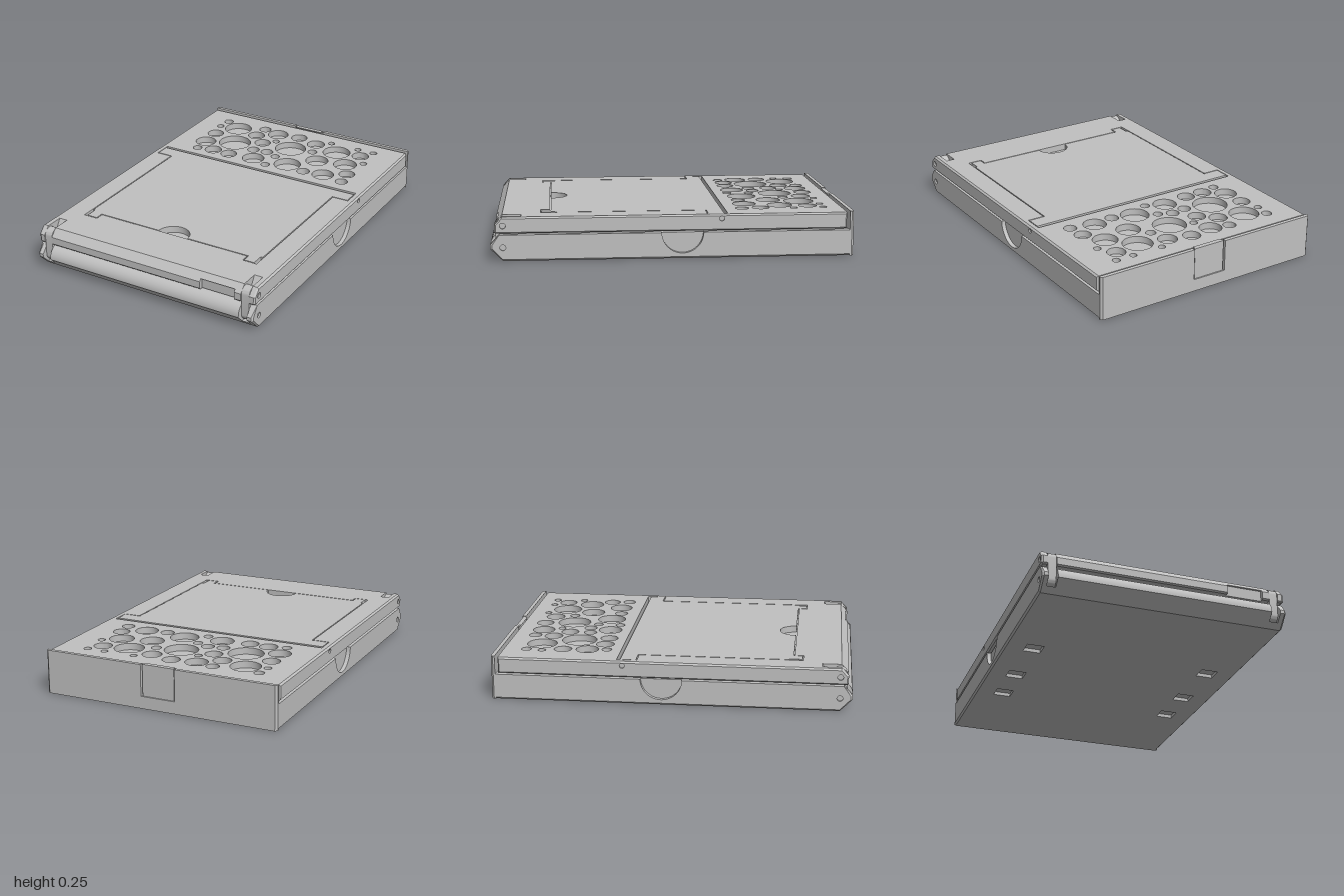
import * as THREE from 'three';
import { toCreasedNormals } from 'three/addons/utils/BufferGeometryUtils.js';

const grey = new THREE.MeshStandardMaterial({ color: 0xc0c0c0 });
grey.name = 'grey plastic';
const PI = Math.PI;

// x, z, radius of each round hole in the rear panel
const HOLES = [
  [-.52, -.835, .029], [-.53, -.745, .022], [-.41, -.767, .085], [-.5, -.63, .05], [-.49, -.492, .064], [-.485, -.382, .028],
  [-.385, -.407, .052], [-.32, -.567, .1], [-.27, -.402, .05], [-.25, -.842, .037], [-.255, -.732, .052], [-.14, -.814, .064],
  [-.165, -.652, .05], [-.1, -.712, .022], [-.165, -.532, .037], [-.075, -.545, .037], [-.105, -.422, .068], [.003, -.835, .05],
  [.03, -.662, .096], [.003, -.511, .027], [.003, -.38, .027], [.14, -.8, .055], [.173, -.687, .029], [.12, -.45, .082],
  [.22, -.862, .02], [.307, -.757, .085], [.255, -.587, .069], [.25, -.412, .039], [.405, -.862, .02], [.512, -.862, .022],
  [.46, -.782, .052], [.523, -.692, .021], [.43, -.625, .071], [.375, -.43, .066], [.5, -.507, .048], [.515, -.4, .037],
];

// points of an arc [a, b] from angle t0 to t1
function arc(ca, cb, r, t0, t1, n = 16) {
  return Array.from({ length: n + 1 }, (_, i) => {
    const t = t0 + (t1 - t0) * i / n;
    return [ca + r * Math.cos(t), cb + r * Math.sin(t)];
  });
}

function circle(a, b, r) {
  return arc(a, b, r, 0, 2 * PI, 32).slice(0, -1);
}

function rect(a0, b0, a1, b1) {
  return [[a0, b0], [a1, b0], [a1, b1], [a0, b1]];
}

// extrusion of an outline with holes; holes run against the outline
function extrude(points, holes, depth, map) {
  const shape = new THREE.Shape(points.map(map));
  for (const h of holes) shape.holes.push(new THREE.Path(h.map(map).reverse()));
  return new THREE.ExtrudeGeometry(shape, { depth, bevelEnabled: false });
}

// [z, y] outline swept from x0 to x1
function sweep(points, x0, x1, holes = []) {
  return extrude(points, holes, x1 - x0, ([z, y]) => new THREE.Vector2(-z, y))
    .rotateY(PI / 2).translate(x0, 0, 0);
}

export function createModel() {
  const model = new THREE.Group();
  model.name = 'hingedCase';

  function add(name, geometry) {
    const mesh = new THREE.Mesh(toCreasedNormals(geometry, 0.5), grey);
    mesh.name = name;
    model.add(mesh);
  }
  function profile(name, points, x0, x1) {
    add(name, sweep(points, x0, x1));
  }
  // [x, z] outline raised from y0 to y1
  function plan(name, points, y0, y1, holes = []) {
    add(name, extrude(points, holes, y1 - y0, ([x, z]) => new THREE.Vector2(x, -z))
      .rotateX(-PI / 2).translate(0, y0, 0));
  }
  // side plate on both sides, with a rim chamfered towards the outer face
  function sidePlates(name, points, holes, low, high) {
    for (const s of [-1, 1]) {
      add(name, sweep(points, s > 0 ? .66 : -.685, s > 0 ? .685 : -.66, holes));
      const rim = sweep(points, s > 0 ? .685 : -.695, s > 0 ? .695 : -.685, holes);
      const p = rim.attributes.position;
      for (let i = 0; i < p.count; i++) {
        if (Math.abs(p.getX(i)) < .69) continue;
        p.setY(i, THREE.MathUtils.clamp(p.getY(i), low.y, high.y));
        p.setZ(i, THREE.MathUtils.clamp(p.getZ(i), low.z, high.z));
      }
      add(name + 'Rim', rim);
    }
  }

  // Base: core, underside with square recesses, side plates with thumb scoops
  profile('baseCore', rect(-.98, .02, .83, .143), -.672, .672);
  const recesses = [];
  for (const x of [-.53, .53]) {
    for (const z of [-.385, -.105, .27]) recesses.push(rect(x - .05, z - .045, x + .05, z + .045));
  }
  plan('baseUnderside', rect(-.672, -.98, .672, .83), 0, .02, recesses);
  sidePlates('baseSide', [
    [-.98, 0], [.93, 0], [1, .07], [1, .09], [.95, .145],
    ...arc(-.05, .145, .115, 0, -PI, 24), [-.98, .145],
  ], [circle(.93, .075, .016)], { y: .01, z: -1 }, { y: .145, z: .988 });
  profile('baseNose', [
    [.83, 0], [.93, 0], [1, .07], ...arc(.93, .075, .07, .05, PI / 2, 10), [.83, .145],
  ], -.61, .61);

  // Back wall with clipped corners and a thin latch standing between two slits
  for (const s of [-1, 1]) {
    plan('backWall', [
      [.102, -1], [.683, -1], [.695, -.988], [.695, -.978], [.102, -.978],
    ].map(([x, z]) => [s * x, z]), 0, .25);
  }
  plan('backWallCentre', rect(-.102, -1, .102, -.978), 0, .07);
  plan('latch', rect(-.095, -.992, .095, -.978), .07, .25);
  profile('latchCatch', [[-.98, .235], [-.965, .249], [-.965, .25], [-.98, .25]], -.09, .09);

  // Lid: core, side plates and nose with a small front recess
  profile('lidCore', rect(-.96, .152, .83, .205), -.672, .672);
  const lidFront = [[.967, .152], [.975, .16], [.975, .2], [.935, .243]];
  sidePlates('lidSide', [[-.962, .152], ...lidFront, [-.962, .243]],
    [circle(.93, .195, .016), circle(-.265, .219, .014)],
    { y: .16, z: -.954 }, { y: .234, z: .967 });
  const lidNose = [[.83, .152], ...lidFront, [.83, .243]];
  profile('lidNoseMain', lidNose, -.61, .36);
  profile('lidNoseEnd', lidNose, .57, .61);
  profile('lidNoseRecess', [
    [.83, .152], [.95, .152], [.95, .213], [.963, .213], [.935, .243], [.83, .243],
  ], .36, .57);

  // Top layer of the lid: perforated panel, frame and door
  plan('perforatedPanel', rect(-.672, -.962, .672, -.3), .205, .243,
    HOLES.map((h) => circle(...h)));
  plan('lidFrame', [
    [-.672, -.187], [-.563, -.187], [-.563, .725], [-.477, .725], [-.477, .675],
    [.477, .675], [.477, .725], [.563, .725], [.563, -.187], [.672, -.187], [.672, .83], [-.672, .83],
  ], .205, .243);
  const doorEdge = [
    [.655, -.28], [.655, -.193], [.557, -.193], [.557, .645], [.545, .645], [.545, .719], [.483, .719], [.483, .669],
  ];
  plan('door', [
    ...doorEdge, ...arc(0, .669, .094, 0, -PI, 24),
    ...doorEdge.map(([x, z]) => [-x, z]).reverse(),
  ], .205, .243);

  // Pins, running along x
  function pin(name, x, y, z, r, length) {
    add(name, new THREE.CylinderGeometry(r, r, length, 32).rotateZ(PI / 2).translate(x, y, z));
  }
  // Hinges: slot floor, sloping slot back, link and sunken pins
  const link = [...arc(.93, .195, .04, 0, PI), ...arc(.93, .075, .04, PI, 2 * PI)];
  for (const s of [-1, 1]) {
    const x0 = s > 0 ? .61 : -.66;
    const x1 = x0 + .05;
    profile('hingeSlotFloor', [[.83, 0], [.93, 0], [.96, .03], [.83, .03]], x0, x1);
    profile('hingeSlotBack', [[.83, .152], [.887, .152], [.83, .243]], x0, x1);
    profile('hingeLink', link, x0 + .002, x1 - .002);
    pin('lowerHingePin', s * .64, .075, .93, .016, .09);
    pin('upperHingePin', s * .64, .195, .93, .016, .09);
    pin('doorPin', s * .66, .219, -.265, .014, .052);
  }

  return model;
}
